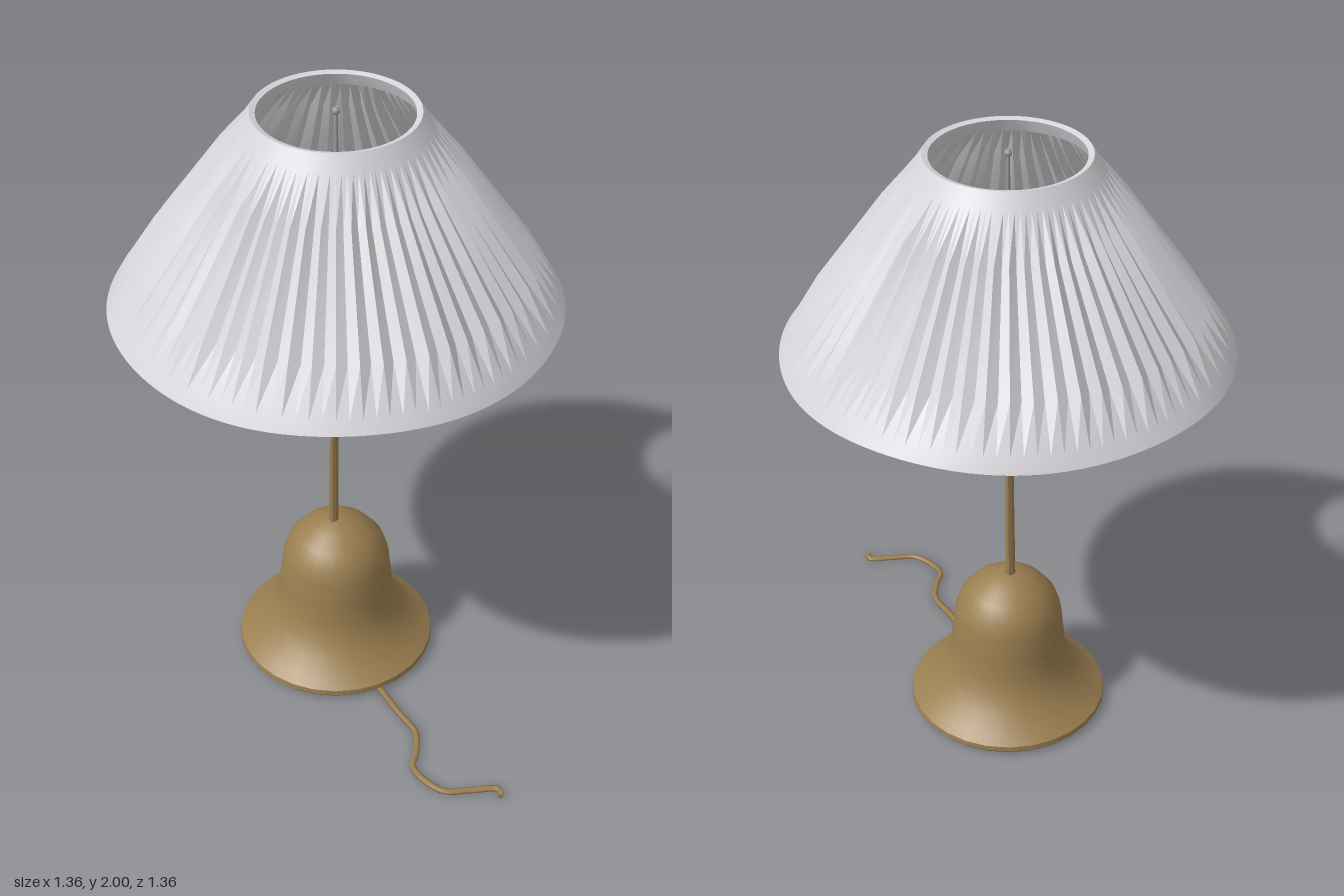
import * as THREE from 'three';
import { toCreasedNormals } from 'three/addons/utils/BufferGeometryUtils.js';

const bronze = new THREE.MeshStandardMaterial({ name: 'bronze', color: 0x9a7e50 });
const fabric = new THREE.MeshStandardMaterial({ name: 'paleFabric', color: 0xd8d5da, side: THREE.DoubleSide });
const metal = new THREE.MeshStandardMaterial({ name: 'greyMetal', color: 0xa09da2 });

const PLEATS = 56;

function lathe(points, segments) {
  return new THREE.LatheGeometry(points.map(([r, y]) => new THREE.Vector2(r, y)), segments);
}

function add(group, name, geometry, material) {
  const mesh = new THREE.Mesh(geometry, material);
  mesh.name = name;
  group.add(mesh);
  return mesh;
}

// Hollow cone of cloth, gathered into uneven folds between two plain bands
function shadeGeometry() {
  const geo = lathe([
    [0.225, 1.985], [0.242, 1.99], [0.272, 1.945], [0.36, 1.82], [0.47, 1.665], [0.57, 1.525],
    [0.655, 1.405], [0.678, 1.368], [0.66, 1.355], [0.64, 1.375], [0.54, 1.53], [0.44, 1.67],
    [0.33, 1.825], [0.24, 1.945], [0.225, 1.985],
  ], PLEATS * 2);
  const p = geo.attributes.position;
  const ROWS = 15;
  for (let i = 0; i < p.count; i++) {
    const column = Math.floor(i / ROWS) % (PLEATS * 2);
    const x = p.getX(i), y = p.getY(i), z = p.getZ(i);
    const r = Math.hypot(x, z);
    if (y > 1.41 && y < 1.94) {
      const fold = (column % 2 ? -1 : 1) * (0.007 + 0.004 * Math.sin(column * 2.3));
      const k = (r + fold) / r;
      p.setXYZ(i, x * k, y + fold * 0.5, z * k);
    } else if (y < 1.38) {
      // gently wavy hem
      p.setY(i, y + 0.004 * Math.sin((column / PLEATS) * Math.PI * 5));
    }
  }
  return toCreasedNormals(geo, 0.25);
}

// Slim blade-like stem: constant depth, narrowing in width as it rises
function stemGeometry() {
  const geo = new THREE.CylinderGeometry(0.021, 0.021, 1.16, 8, 4);
  geo.translate(0, 1.06, 0.003);
  const p = geo.attributes.position;
  for (let i = 0; i < p.count; i++) {
    const t = (p.getY(i) - 0.48) / 1.16;
    p.setX(i, p.getX(i) * (0.8 - 0.5 * t) - 0.007 * (1 - t));
  }
  return toCreasedNormals(geo, 0.6);
}

// Flattened cord trailing over the table
function cordGeometry() {
  const path = new THREE.CatmullRomCurve3([
    [0.2, 0.24], [0.28, 0.33], [0.355, 0.41], [0.372, 0.49], [0.375, 0.555],
    [0.43, 0.605], [0.49, 0.628], [0.57, 0.605], [0.65, 0.583], [0.662, 0.607],
  ].map(([x, z]) => new THREE.Vector3(x, 0, z)));
  const geo = new THREE.TubeGeometry(path, 48, 0.011, 6, false);
  geo.scale(1, 0.75, 1);
  geo.translate(0, 0.012, 0);
  return geo;
}

export function createModel() {
  const lamp = new THREE.Group();
  lamp.name = 'tableLamp';

  // Bell-shaped foot with a flared brim and closed underside
  add(lamp, 'bellBase', toCreasedNormals(lathe([
    [0, 0.008], [0.312, 0.008], [0.322, 0.02], [0.32, 0.036], [0.29, 0.058], [0.245, 0.1],
    [0.212, 0.15], [0.192, 0.2], [0.184, 0.27], [0.174, 0.36], [0.158, 0.41],
    [0.125, 0.452], [0.08, 0.485], [0.035, 0.503], [0, 0.508],
  ], 28), 0.6), bronze);

  add(lamp, 'stem', stemGeometry(), bronze);

  // Thin rod and finial continuing up inside the shade
  add(lamp, 'upperRod', new THREE.CylinderGeometry(0.006, 0.008, 0.37, 8), metal).position.y = 1.815;
  add(lamp, 'finial', new THREE.SphereGeometry(0.012, 8, 6), metal).position.y = 1.988;

  add(lamp, 'pleatedShade', shadeGeometry(), fabric);

  add(lamp, 'cord', cordGeometry(), bronze);
  const plug = add(lamp, 'cordEnd', new THREE.BoxGeometry(0.014, 0.016, 0.022), bronze);
  plug.position.set(0.66, 0.012, 0.6);

  return lamp;
}
